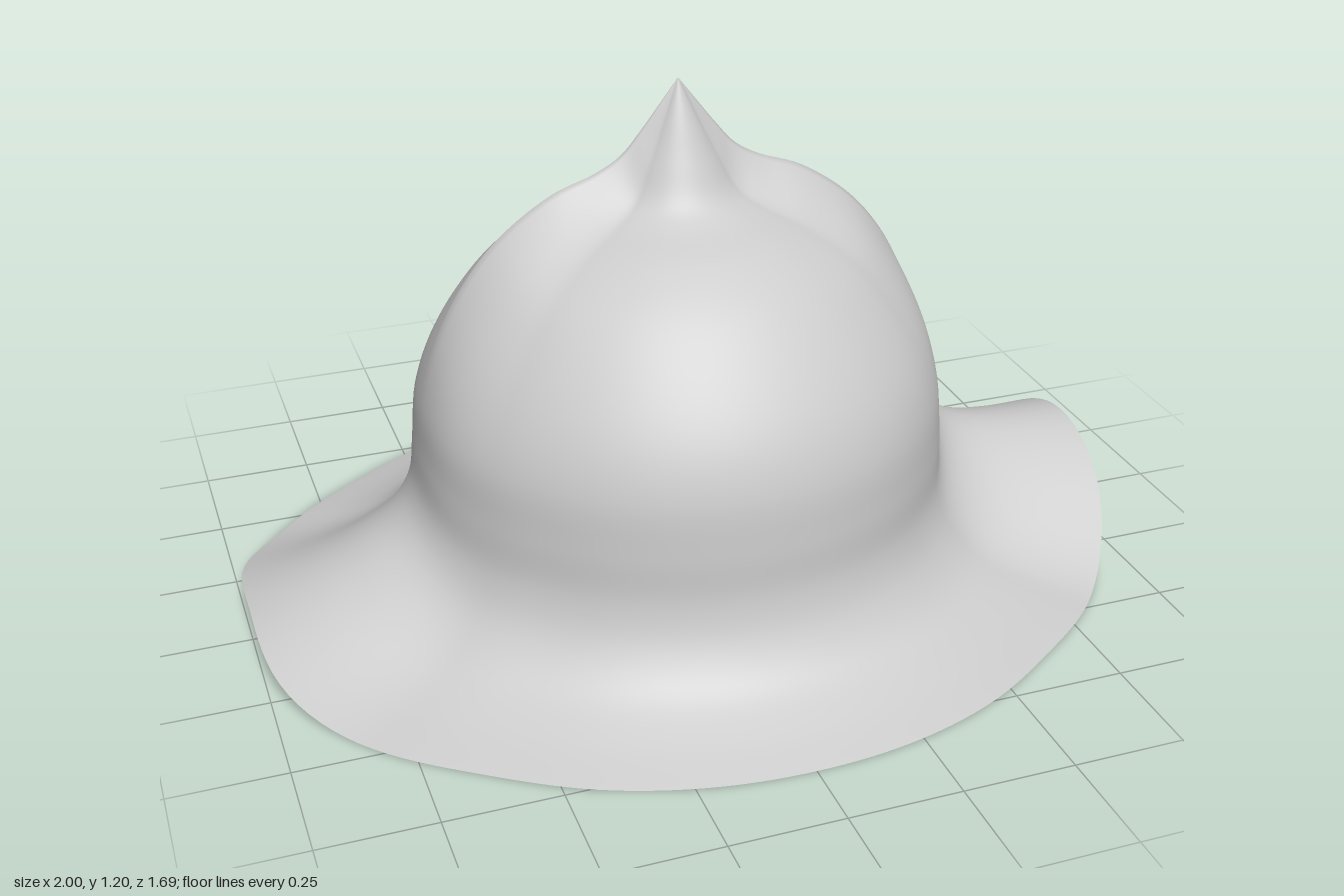
import * as THREE from 'three';

// Profiles from rim to tip as [radius, height]; all share the same row count.
const upper = [[0.55, 0.66], [0.485, 0.785], [0.4, 0.885], [0.29, 0.962], [0.19, 1.0],
  [0.13, 1.035], [0.085, 1.085], [0.04, 1.143], [0, 1.195]];
const broadside = [[0.845, 0], [0.75, 0.035], [0.66, 0.085], [0.605, 0.16], [0.58, 0.25],
  [0.577, 0.36], [0.567, 0.48], [0.53, 0.59], [0.46, 0.7], [0.37, 0.8], [0.27, 0.87],
  [0.17, 0.915], [0.12, 0.955], [0.08, 1.03], [0.04, 1.115], [0, 1.195]];
const leftEnd = [[1, 0.23], [0.85, 0.24], [0.73, 0.262], [0.65, 0.305], [0.605, 0.37],
  [0.597, 0.45], [0.585, 0.54], ...upper];
const rightEnd = [[1, 0.075], [0.86, 0.13], [0.75, 0.18], [0.66, 0.235], [0.615, 0.3],
  [0.602, 0.4], [0.59, 0.52], ...upper];

const spline = (pts) => new THREE.SplineCurve(pts.map(([x, y]) => new THREE.Vector2(x, y)));

// How far the outline stretches towards the ends, every 15 degrees from -15 to 105.
const stretch = spline([1.05, 1, 1.05, 0.72, 0.34, 0.17, 0.05, 0, 0.05].map((s, i) => [i, s]));

function createShell() {
  const SEG = 180, ROWS = 90, FOLD = 30;
  const side = spline(broadside), left = spline(leftEnd), right = spline(rightEnd);
  const position = [], index = [];
  for (let i = 0; i <= ROWS; i++) {
    const t = i / ROWS;
    const p = side.getPoint(t), l = left.getPoint(t), r = right.getPoint(t);
    // The fold is round at the brim and becomes a sharp crest on the dome.
    const crest = THREE.MathUtils.smoothstep(t, 0.25, 0.55);
    for (let j = 0; j < SEG; j++) {
      const a = (j / SEG) * Math.PI * 2;
      const c = Math.cos(a), s = Math.sin(a);
      const deg = THREE.MathUtils.radToDeg(Math.atan2(Math.abs(s), Math.abs(c)));
      const end = c > 0 ? l : r;
      const k = Math.min(deg / FOLD, 1);
      const w = THREE.MathUtils.lerp(0.5 + 0.5 * Math.cos(Math.PI * k), (1 - k) ** 1.6, crest);
      const radius = THREE.MathUtils.lerp(p.x, end.x, stretch.getPoint((deg + 15) / 120).y);
      const y = THREE.MathUtils.lerp(p.y, end.y, w);
      position.push(radius * c, Math.max(0, y), radius * s);
      if (i < ROWS) {
        const n = (j + 1) % SEG, u = i * SEG, v = u + SEG;
        index.push(u + j, v + j, u + n);
        if (i < ROWS - 1) index.push(u + n, v + j, v + n);
      }
    }
  }
  const geometry = new THREE.BufferGeometry();
  geometry.setAttribute('position', new THREE.Float32BufferAttribute(position, 3));
  geometry.setIndex(index);
  geometry.computeVertexNormals();
  return geometry;
}

export function createModel() {
  const group = new THREE.Group();
  group.name = 'brimmedHelmet';
  // Thin shell: flared brim, crested dome and pointed tip in one surface
  const material = new THREE.MeshStandardMaterial({ color: 0xcccccc, side: THREE.DoubleSide });
  const shell = new THREE.Mesh(createShell(), material);
  shell.name = 'helmetShell';
  group.add(shell);
  return group;
}
